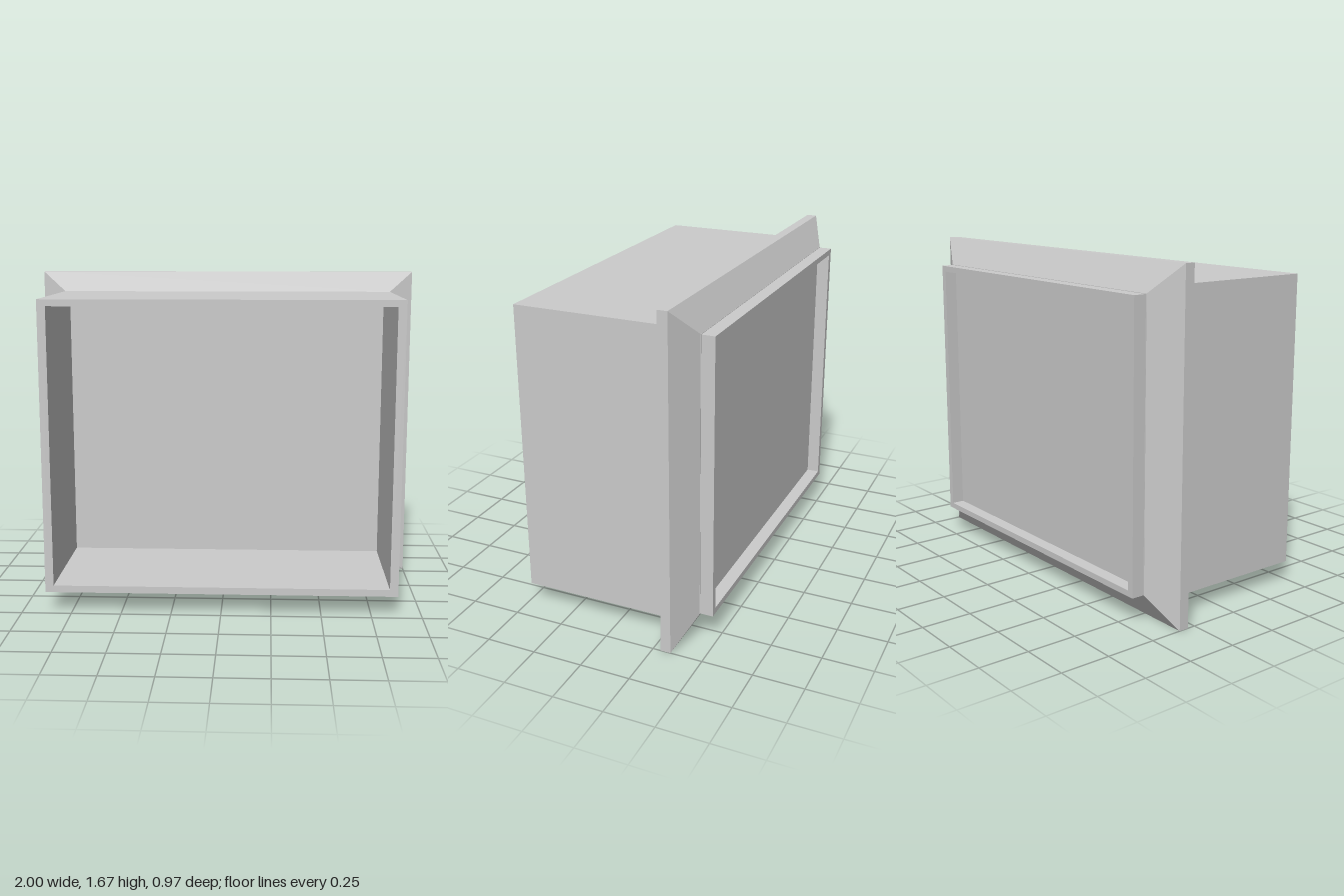
import * as THREE from 'three';

const material = new THREE.MeshStandardMaterial({ color: 0xcccccc, flatShading: true });

// Skin a chain of rectangles, each given as [half width, bottom, top, z]
function rectLoft(name, sections) {
  const rings = sections.map(([w, y0, y1, z]) => [[-w, y0, z], [w, y0, z], [w, y1, z], [-w, y1, z]]);
  const positions = [];
  for (let i = 0; i < rings.length - 1; i++) {
    for (let j = 0; j < 4; j++) {
      const k = (j + 1) % 4;
      const a = rings[i][j], b = rings[i + 1][j], c = rings[i + 1][k], d = rings[i][k];
      positions.push(...a, ...b, ...c, ...a, ...c, ...d);
    }
  }
  const geometry = new THREE.BufferGeometry();
  geometry.setAttribute('position', new THREE.Float32BufferAttribute(positions, 3));
  geometry.computeVertexNormals();
  const mesh = new THREE.Mesh(geometry, material);
  mesh.name = name;
  return mesh;
}

export function createModel() {
  const group = new THREE.Group();
  group.name = 'openBox';

  const front = 0.485, back = -0.485, panelFront = -0.165, panelBack = -0.42;
  const inner = [0.838, 0.14, 1.532];
  const outer = [0.88, 0.105, 1.565];
  const flange = [1, 0, 1.67];
  const rim = [0.835, 0.14, 1.53];
  const recess = [0.803, 0.17, 1.5];

  // Box walls: inside, front lip, outside
  group.add(rectLoft('housing', [
    [...inner, panelFront], [...inner, front], [...outer, front], [...outer, -0.255],
  ]));

  // Bevelled flange, stepped rear rim and the recess inside it
  group.add(rectLoft('flange', [
    [...outer, -0.255], [...flange, -0.29], [...flange, -0.34],
    [...rim, panelBack], [...rim, back], [...recess, back], [...recess, panelBack],
  ]));

  // Panel closing the box, seen from inside and from the rear recess
  const panel = new THREE.Mesh(
    new THREE.BoxGeometry(2 * inner[0], inner[2] - inner[1], panelFront - panelBack), material);
  panel.position.set(0, (inner[1] + inner[2]) / 2, (panelFront + panelBack) / 2);
  panel.name = 'backPanel';
  group.add(panel);

  return group;
}
